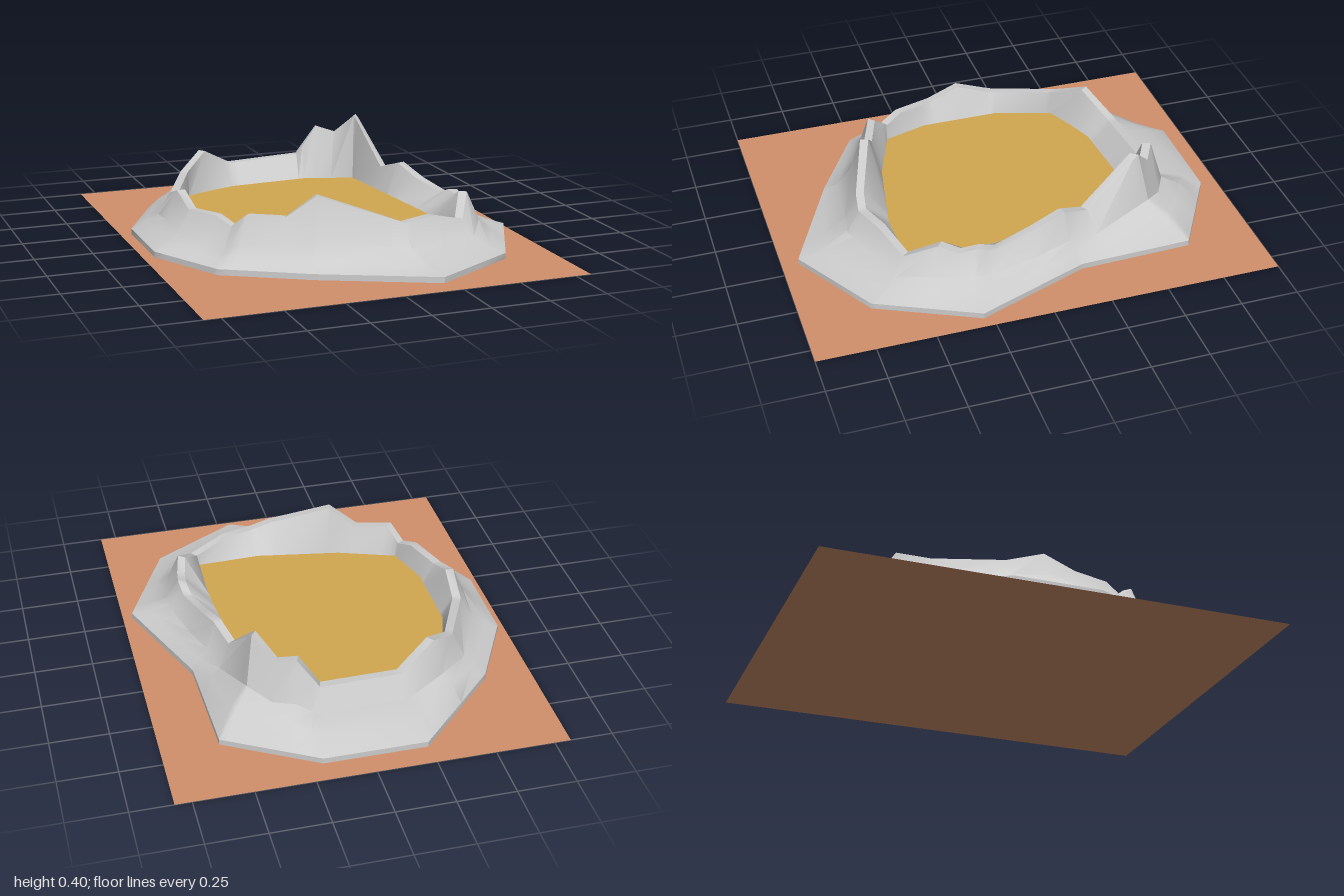
import * as THREE from 'three';
import { toCreasedNormals } from 'three/addons/utils/BufferGeometryUtils.js';

// Outlines around the centre as [x, z] or [x, z, y]
const SKIRT = [[-0.24, -0.91], [0.2, -0.91], [0.58, -0.69], [0.595, -0.2], [0.78, 0.29], [0.58, 0.71],
  [0.2, 0.93], [-0.27, 0.71], [-0.61, 0.51], [-0.78, 0.18], [-0.78, -0.2], [-0.61, -0.53]];
const RIM = [[-0.2, -0.64, 0.19], [0.15, -0.66, 0.2], [0.24, -0.635, 0.33], [0.32, -0.59, 0.305],
  [0.4, -0.51, 0.4], [0.45, -0.27, 0.2], [0.49, -0.15, 0.24], [0.52, 0, 0.2], [0.56, 0.18, 0.17],
  [0.57, 0.25, 0.2], [0.56, 0.33, 0.19], [0.54, 0.41, 0.23], [0.46, 0.54, 0.15], [0.3, 0.6, 0.195],
  [0.15, 0.65, 0.19], [0.07, 0.64, 0.22], [-0.2, 0.55, 0.31], [-0.32, 0.505, 0.22],
  [-0.47, 0.45, 0.23], [-0.51, 0.38, 0.17], [-0.55, 0.3, 0.2], [-0.615, 0.13, 0.19],
  [-0.625, -0.01, 0.24], [-0.61, -0.17, 0.19], [-0.48, -0.45, 0.21], [-0.36, -0.56, 0.275]];
const FLOOR = [[-0.46, -0.43], [-0.21, -0.52], [0.15, -0.545], [0.37, -0.475], [0.43, 0.2], [0.435, 0.51],
  [0.15, 0.52], [-0.22, 0.455], [-0.47, 0.365], [-0.53, 0.17], [-0.53, -0.17]];
const FLOOR_Y = 0.1, BASE_Y = 0.01, EDGE_Y = 0.035, RIM_WIDTH = 0.036;

// Where a ray from the centre crosses an outline: radius and height
function crossing(outline, angle) {
  const dx = Math.cos(angle), dz = Math.sin(angle);
  for (let i = 0; i < outline.length; i++) {
    const [ax, az, ay = 0] = outline[i];
    const [bx, bz, by = 0] = outline[(i + 1) % outline.length];
    const sideA = ax * dz - az * dx, sideB = bx * dz - bz * dx;
    const t = sideA / (sideA - sideB);
    if (!(t >= -1e-6 && t <= 1 + 1e-6)) continue;
    const r = (ax + (bx - ax) * t) * dx + (az + (bz - az) * t) * dz;
    if (r > 0) return { r, y: ay + (by - ay) * t };
  }
  return { r: 0.5, y: 0.1 };
}

// One cross-section from the skirt's foot over the rim to the floor: [radius, height]
function section(angle) {
  const outer = crossing(SKIRT, angle).r;
  const rim = crossing(RIM, angle);
  const rise = rim.y - EDGE_Y;
  const inner = rim.r - RIM_WIDTH;
  const floor = Math.min(crossing(FLOOR, angle).r, inner - 0.005);
  const foot = rim.r + Math.min(0.055, (outer - rim.r) * 0.35);
  return [
    [outer, BASE_Y],
    [outer, EDGE_Y],
    [(outer + foot) / 2, EDGE_Y + rise * (0.2 - 0.1 * Math.sin(angle))],
    [foot, EDGE_Y + rise * 0.4],
    [rim.r, rim.y],
    [inner, rim.y],
    [floor, FLOOR_Y],
  ].map(([r, y]) => new THREE.Vector3(r * Math.cos(angle), y, r * Math.sin(angle)));
}

function fromTriangles(points) {
  return new THREE.BufferGeometry().setFromPoints(points);
}

export function createModel() {
  const group = new THREE.Group();
  const add = (name, geometry, color) => {
    const material = new THREE.MeshStandardMaterial({ color, side: THREE.DoubleSide });
    const mesh = new THREE.Mesh(geometry, material);
    mesh.name = name;
    group.add(mesh);
    return mesh;
  };

  // A section at every corner of every outline
  const angles = [...SKIRT, ...RIM, ...FLOOR].map(([x, z]) => Math.atan2(z, x)).sort((a, b) => a - b)
    .filter((a, i, all) => i === 0 || a - all[i - 1] > 0.004);
  const sections = angles.map(section);

  const wall = [], floor = [];
  sections.forEach((s, i) => {
    const next = sections[(i + 1) % sections.length];
    for (let j = 0; j < s.length - 1; j++) {
      wall.push(s[j], s[j + 1], next[j], next[j], s[j + 1], next[j + 1]);
    }
    floor.push(new THREE.Vector3(0, FLOOR_Y, 0), next[s.length - 1], s[s.length - 1]);
  });

  // Crater wall with its sloping skirt
  add('craterWall', toCreasedNormals(fromTriangles(wall), 0.65), 0xcccccc);

  // Flat floor inside the crater
  const floorGeometry = fromTriangles(floor);
  floorGeometry.computeVertexNormals();
  add('craterFloor', floorGeometry, 0xd2a850);

  // Ground sheet
  add('ground', new THREE.PlaneGeometry(1.64, 2).rotateX(-Math.PI / 2), 0xd2906c);

  return group;
}
